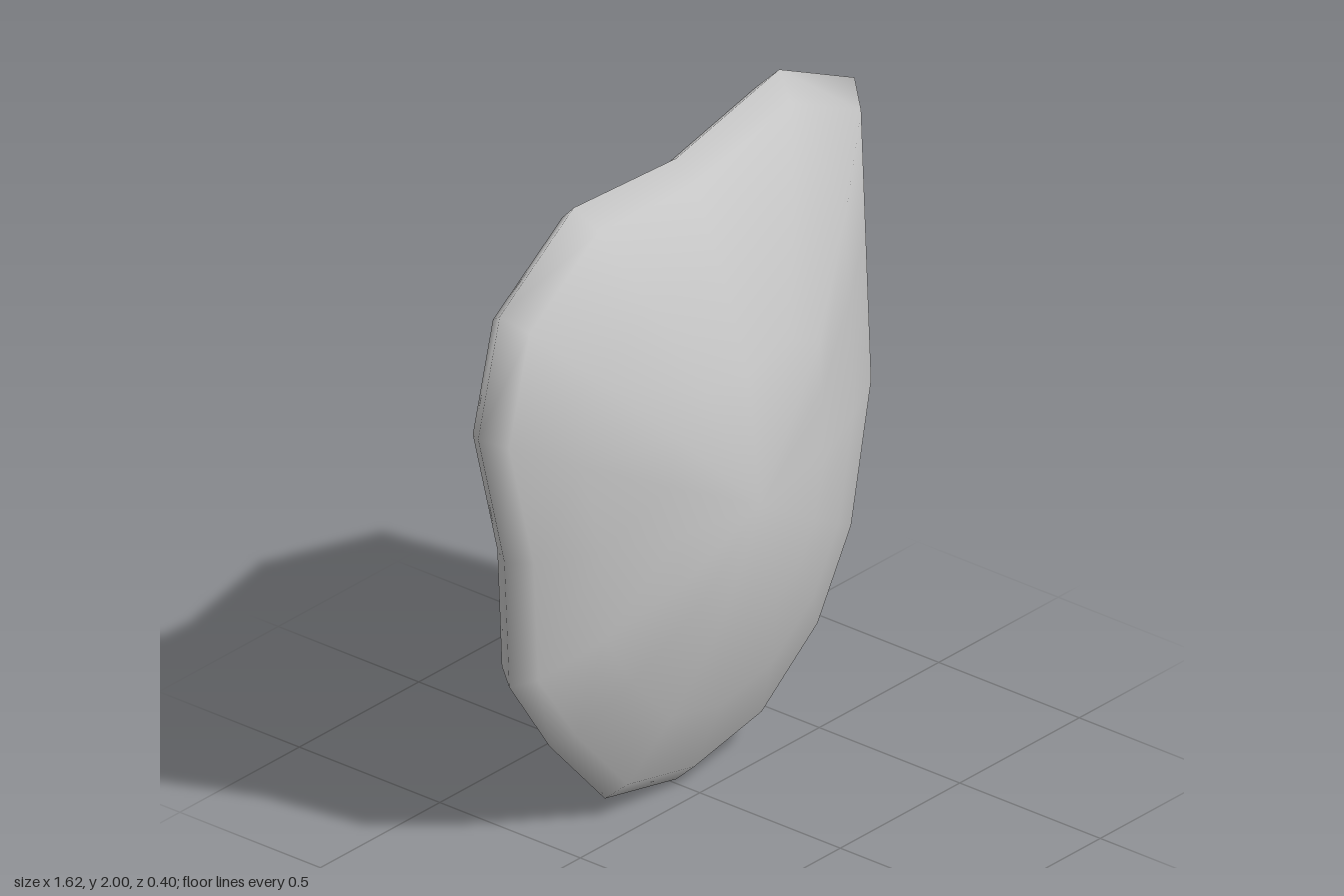
import * as THREE from 'three';

// Irregular outline of the slab, anticlockwise from the lowest point
const OUTLINE = [
  [0.02, 0], [0.32, 0.06], [0.57, 0.25], [0.72, 0.51], [0.81, 0.95], [0.785, 1.45],
  [0.765, 1.85], [0.45, 2], [0.02, 1.9], [-0.41, 1.92], [-0.72, 1.71], [-0.81, 1.37],
  [-0.7, 0.95], [-0.68, 0.56], [-0.51, 0.31], [-0.28, 0.06],
];
const CENTRE = [0.02, 0.94];

// Rings from domed front, over the rim, to dished back:
// [outline scale, z, extra z towards the top and bottom ends]
const RINGS = [
  [0.4, 0.155, 0], [0.7, 0.06, 0], [0.935, -0.035, 0], [1, -0.1, 0],
  [0.935, -0.165, 0], [0.7, -0.165, -0.035], [0.38, -0.135, -0.02],
];

function shellGeometry() {
  const n = OUTLINE.length;
  const positions = [];
  const index = [];

  for (const [scale, z, endShift] of RINGS) {
    for (const [x, y] of OUTLINE) {
      const end = Math.min(1, Math.abs(y - CENTRE[1]) / 0.8);
      positions.push(
        CENTRE[0] + (x - CENTRE[0]) * scale,
        CENTRE[1] + (y - CENTRE[1]) * scale,
        z + endShift * end,
      );
    }
  }
  const front = RINGS.length * n;
  const back = front + 1;
  positions.push(...CENTRE, 0.2, ...CENTRE, -0.12);

  for (let i = 0; i < n; i++) {
    const j = (i + 1) % n;
    index.push(front, i, j);
    for (let r = 0; r < RINGS.length - 1; r++) {
      const a = r * n, b = a + n;
      index.push(a + i, b + i, b + j, a + i, b + j, a + j);
    }
    const last = (RINGS.length - 1) * n;
    index.push(last + i, back, last + j);
  }

  const geometry = new THREE.BufferGeometry();
  geometry.setAttribute('position', new THREE.Float32BufferAttribute(positions, 3));
  geometry.setIndex(index);
  geometry.computeVertexNormals();
  return geometry;
}

export function createModel() {
  const group = new THREE.Group();
  const shell = new THREE.Mesh(
    shellGeometry(),
    new THREE.MeshStandardMaterial({ color: 0xcccccc }),
  );
  shell.name = 'shell';
  group.add(shell);
  return group;
}
